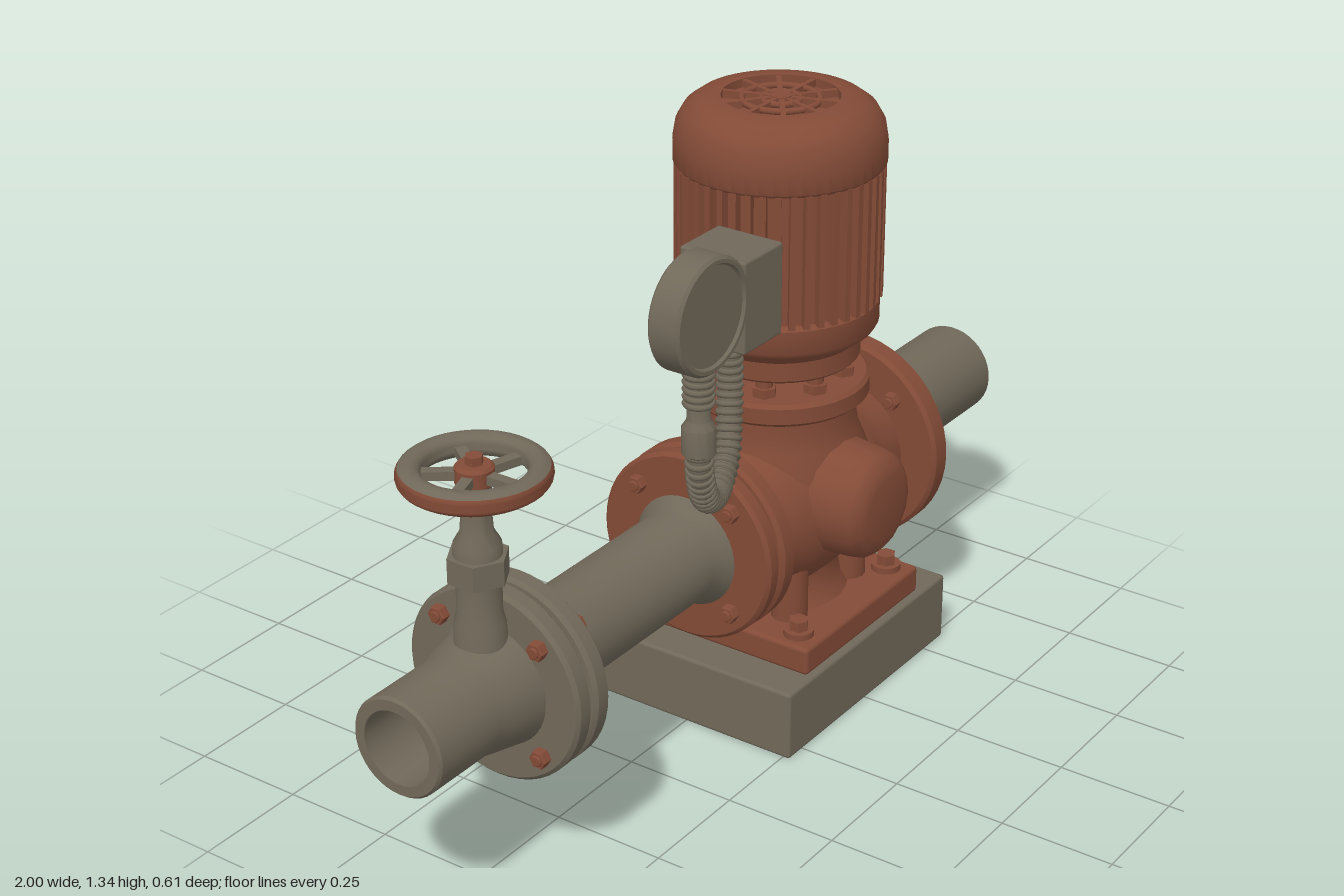
import * as THREE from 'three';
import { toCreasedNormals } from 'three/addons/utils/BufferGeometryUtils.js';
import { RoundedBoxGeometry } from 'three/addons/geometries/RoundedBoxGeometry.js';

const PY = 0.45, PZ = 0.022, MX = 0.254; // pipe axis height and depth, motor axis

export function createModel() {
  const model = new THREE.Group();
  const red = new THREE.MeshStandardMaterial({ color: 0x834b37 });
  red.name = 'rust red';
  const grey = new THREE.MeshStandardMaterial({ color: 0x706859 });
  grey.name = 'pipe grey';

  const add = (name, geo, mat, x = 0, y = 0, z = 0, parent = model) => {
    const m = new THREE.Mesh(geo, mat);
    m.name = name;
    m.position.set(x, y, z);
    parent.add(m);
    return m;
  };
  // profile entries are [radius, position along axis]
  const lathe = (profile, seg = 40, crease = 0.6) => toCreasedNormals(
    new THREE.LatheGeometry(profile.map(([r, h]) => new THREE.Vector2(r, h)), seg), crease);
  const latheX = (profile, seg, crease) => lathe(profile, seg, crease).rotateZ(-Math.PI / 2);
  const latheZ = (profile, seg, crease) => lathe(profile, seg, crease).rotateX(Math.PI / 2);
  const disc = (r, a, b, c = 0.008) => [[0, a], [r - c, a], [r, a + c], [r, b - c], [r - c, b], [0, b]];
  const cyl = (r, h, seg = 16) => toCreasedNormals(new THREE.CylinderGeometry(r, r, h, seg), 0.6);

  // concrete base and foot
  add('base', new RoundedBoxGeometry(0.63, 0.158, 0.576, 2, 0.008), grey, 0.26, 0.086, -0.02);
  add('footPlate', new RoundedBoxGeometry(0.45, 0.064, 0.478, 2, 0.01), red, MX, 0.196, 0.015);
  add('pedestal', lathe([[0.165, 0.22], [0.145, 0.25], [0.135, 0.3], [0.15, 0.36]]), red, MX, 0, PZ);
  for (const sx of [-1, 1]) for (const sz of [-1, 1]) {
    add('footRib', cyl(0.04, 0.16), red, MX + sx * 0.115, 0.29, PZ + sz * 0.115);
    add('footWasher', cyl(0.033, 0.016), red, MX + sx * 0.175, 0.234, 0.015 + sz * 0.185);
    add('footBolt', cyl(0.022, 0.04, 6), red, MX + sx * 0.175, 0.245, 0.015 + sz * 0.185);
  }

  // pump casing
  add('casing', latheX([[0.15, 0], [0.152, 0.04], [0.165, 0.08], [0.185, 0.13], [0.198, 0.19], [0.2, 0.254],
    [0.198, 0.32], [0.185, 0.38], [0.165, 0.43], [0.152, 0.47], [0.15, 0.54]], 48, 1), red, 0, PY, PZ);
  add('casingBulge', new THREE.SphereGeometry(0.2, 40, 24), red, MX, PY, PZ);
  add('casingNeck', lathe([[0.2, 0.5], [0.196, 0.56], [0.175, 0.61], [0.168, 0.65], [0.168, 0.7]], 40, 1), red, MX, 0, PZ);
  add('frontBoss', latheZ([[0.15, 0.08], [0.128, 0.18], [0.122, 0.25], [0.116, 0.28], [0.095, 0.3], [0.07, 0.306],
    [0, 0.306]], 16, 0.9), red, MX - 0.005, 0.487, 0);
  add('casingTopFlange', lathe(disc(0.196, 0.688, 0.738)), red, MX, 0, PZ);

  // coupling studs between casing and motor
  add('shaft', cyl(0.06, 0.08, 20), red, MX, 0.76, PZ);
  for (let i = 0; i < 8; i++) {
    const a = (i + 0.5) * Math.PI / 4;
    const x = MX + Math.cos(a) * 0.14, z = PZ + Math.sin(a) * 0.14;
    add('couplingStud', cyl(0.018, 0.07, 10), red, x, 0.762, z);
    add('couplingNut', cyl(0.027, 0.022, 6), red, x, 0.747, z);
  }

  // motor
  add('motorBase', lathe([[0, 0.778], [0.168, 0.778], [0.174, 0.784], [0.174, 0.825], [0.205, 0.85], [0.212, 0.862],
    [0.212, 0.912], [0.205, 0.92], [0.19, 0.92]], 48), red, MX, 0, PZ);
  add('motorCore', lathe([[0.197, 0.915], [0.197, 1.215]], 48), red, MX, 0, PZ);
  add('motorCap', lathe([[0.19, 1.204], [0.215, 1.204], [0.22, 1.21], [0.22, 1.255], [0.214, 1.29], [0.198, 1.318],
    [0.172, 1.337], [0.14, 1.344], [0.122, 1.344], [0.122, 1.325], [0, 1.325]], 48, 0.7), red, MX, 0, PZ);
  const finGeo = new THREE.BoxGeometry(0.03, 0.288, 0.013);
  for (let i = 0; i < 44; i++) {
    const a = i / 44 * Math.PI * 2;
    add('coolingFin', finGeo, red, MX + Math.cos(a) * 0.203, 1.062, PZ + Math.sin(a) * 0.203).rotation.y = -a;
  }
  // fan grille in the cap
  for (const r of [0.04, 0.08]) {
    add('grilleRing', new THREE.TorusGeometry(r, 0.007, 8, 32).rotateX(Math.PI / 2), red, MX, 1.336, PZ);
  }
  add('grilleHub', cyl(0.022, 0.02), red, MX, 1.334, PZ);
  for (let i = 0; i < 10; i++) {
    const a = i * Math.PI / 5;
    add('grilleSpoke', new THREE.BoxGeometry(0.11, 0.016, 0.011), red,
      MX + Math.cos(a) * 0.068, 1.334, PZ + Math.sin(a) * 0.068).rotation.y = -a;
  }

  // flanges: [name, radius, start, end, material, centre height]
  const flanges = [
    ['outletFlange', 0.237, 0.525, 0.582, red, 0.461],
    ['inletFlange', 0.212, -0.035, 0.013, red, 0.454],
    ['inletPipeFlange', 0.21, -0.083, -0.042, red, 0.454],
    ['valvePipeFlange', 0.207, -0.665, -0.62, grey, 0.443],
    ['valveFlange', 0.207, -0.72, -0.675, grey, 0.443],
  ];
  for (const [name, r, a, b, mat, y] of flanges) add(name, latheX(disc(r, a, b), 48), mat, 0, y, PZ);
  add('inletGasket', latheX(disc(0.18, -0.045, -0.03, 0.002)), red, 0, 0.454, PZ);
  add('valveGasket', latheX(disc(0.18, -0.68, -0.66, 0.002)), grey, 0, 0.443, PZ);
  add('valveFlangeFace', latheX(disc(0.19, -0.622, -0.615, 0.002), 48), red, 0, 0.443, PZ);

  // bolt sets: centre height, pitch radius, start, end
  for (const [y, r, a, b] of [[0.461, 0.178, 0.5, 0.6], [0.454, 0.165, -0.108, 0.035], [0.443, 0.168, -0.745, -0.595]]) {
    for (let i = 0; i < 4; i++) {
      const t = Math.PI / 4 + i * Math.PI / 2;
      const g = new THREE.Group();
      g.name = 'flangeBolt';
      g.position.set(0, y + Math.sin(t) * r, PZ + Math.cos(t) * r);
      model.add(g);
      add('boltShank', latheX(disc(0.012, a, b, 0.002), 10), red, 0, 0, 0, g);
      add('boltHead', latheX(disc(0.02, b - 0.025, b - 0.005, 0.002), 6), red, 0, 0, 0, g);
      add('boltNut', latheX(disc(0.02, a + 0.005, a + 0.03, 0.002), 6), red, 0, 0, 0, g);
    }
  }

  // pipes
  add('outletPipe', latheX([[0.146, 0.578], [0.142, 0.592], [0.122, 0.612], [0.106, 0.635], [0.104, 0.66], [0.104, 0.994],
    [0.099, 1], [0.076, 1], [0.076, 0.7], [0, 0.7]]), grey, 0, PY, PZ);
  add('inletPipe', latheX([[0.13, -0.625], [0.118, -0.6], [0.104, -0.57], [0.101, -0.54], [0.101, -0.13],
    [0.112, -0.1], [0.125, -0.08]]), grey, 0, 0.447, PZ);
  add('valveBody', latheX([[0, -0.72], [0.078, -0.72], [0.078, -1], [0.1, -1], [0.105, -0.994], [0.105, -0.83],
    [0.112, -0.8], [0.12, -0.76], [0.13, -0.715]]), grey, 0, 0.445, PZ);

  // valve bonnet, stem and handwheel
  const VX = -0.748;
  add('valveBonnet', lathe([[0.055, 0.5], [0.05, 0.6], [0.044, 0.62], [0.044, 0.7]], 24), grey, VX, 0, PZ);
  add('valveNut', cyl(0.062, 0.052, 6), grey, VX, 0.716, PZ);
  add('valveStem', lathe([[0.048, 0.735], [0.046, 0.765], [0.032, 0.79], [0.028, 0.85], [0.032, 0.885], [0.032, 0.9], [0, 0.9]], 24),
    grey, VX, 0, PZ);
  const rimArc = (from, to) => {
    const pts = [];
    for (let i = 0; i <= 8; i++) {
      const a = from + (to - from) * i / 8;
      pts.push([0.122 + Math.cos(a) * 0.025, Math.sin(a) * 0.024]);
    }
    return lathe(pts, 40, 1);
  };
  add('handwheelOuterRim', rimArc(-Math.PI * 0.7, Math.PI * 0.22), red, VX, 0.909, PZ);
  add('handwheelInnerRim', rimArc(Math.PI * 0.22, Math.PI * 1.3), grey, VX, 0.909, PZ);
  add('handwheelHub', lathe(disc(0.038, 0.885, 0.928, 0.006), 24), red, VX, 0, PZ);
  add('handwheelNut', cyl(0.018, 0.022, 6), red, VX, 0.934, PZ);
  for (let i = 0; i < 5; i++) {
    const a = i * Math.PI * 0.4 + 0.3;
    add('handwheelSpoke', new THREE.BoxGeometry(0.085, 0.018, 0.022), grey,
      VX + Math.cos(a) * 0.07, 0.907, PZ + Math.sin(a) * 0.07).rotation.y = -a;
  }

  // junction box
  add('junctionBox', new RoundedBoxGeometry(0.135, 0.198, 0.156, 2, 0.006), grey, -0.0375, 1.038, 0.102);
  add('boxMount', new THREE.BoxGeometry(0.06, 0.14, 0.09), red, 0.05, 1.038, 0.075);

  // corrugated hose from box to gauge
  const path = new THREE.CatmullRomCurve3([[-0.055, 0.95, 0.11], [-0.06, 0.83, 0.115], [-0.105, 0.715, 0.14], [-0.19, 0.672, 0.172],
    [-0.275, 0.71, 0.206], [-0.325, 0.79, 0.228], [-0.334, 0.87, 0.232]].map((p) => new THREE.Vector3(...p)));
  add('hose', new THREE.TubeGeometry(path, 60, 0.024, 12), grey);
  const ribGeo = new THREE.TorusGeometry(0.023, 0.0065, 6, 16);
  for (let i = 0; i < 36; i++) {
    const u = i / 35, p = path.getPointAt(u);
    add('hoseRib', ribGeo, grey, p.x, p.y, p.z).quaternion.setFromUnitVectors(
      new THREE.Vector3(0, 0, 1), path.getTangentAt(u));
  }

  // pressure gauge with its dial on the back
  const gauge = new THREE.Group();
  gauge.name = 'pressureGauge';
  gauge.position.set(-0.334, 1.13, 0.232);
  model.add(gauge);
  add('gaugeCase', latheZ([[0, -0.024], [0.1, -0.024], [0.102, -0.036], [0.112, -0.036], [0.118, -0.03], [0.118, 0.03],
    [0.112, 0.036], [0.104, 0.036], [0.1, 0.03], [0, 0.03]], 48), grey, 0, 0, 0, gauge);
  const needle = add('gaugeNeedle', new THREE.BoxGeometry(0.12, 0.008, 0.005), grey, 0, 0, -0.027, gauge);
  needle.rotation.z = -0.7;
  add('needlePin', latheZ(disc(0.012, -0.034, -0.02, 0.002), 12), grey, 0, 0, 0, gauge);
  add('gaugeStem', lathe([[0.027, -0.19], [0.027, -0.1]], 20), grey, 0, 0, 0, gauge);
  for (let i = 0; i < 5; i++) {
    add('stemRib', new THREE.TorusGeometry(0.027, 0.006, 6, 18).rotateX(Math.PI / 2), grey, 0, -0.125 - i * 0.015, 0, gauge);
  }
  add('gaugeNut', lathe([[0.02, -0.3], [0.034, -0.29], [0.034, -0.235], [0.024, -0.22], [0.022, -0.17]], 12), grey, 0, 0, 0, gauge);

  return model;
}
